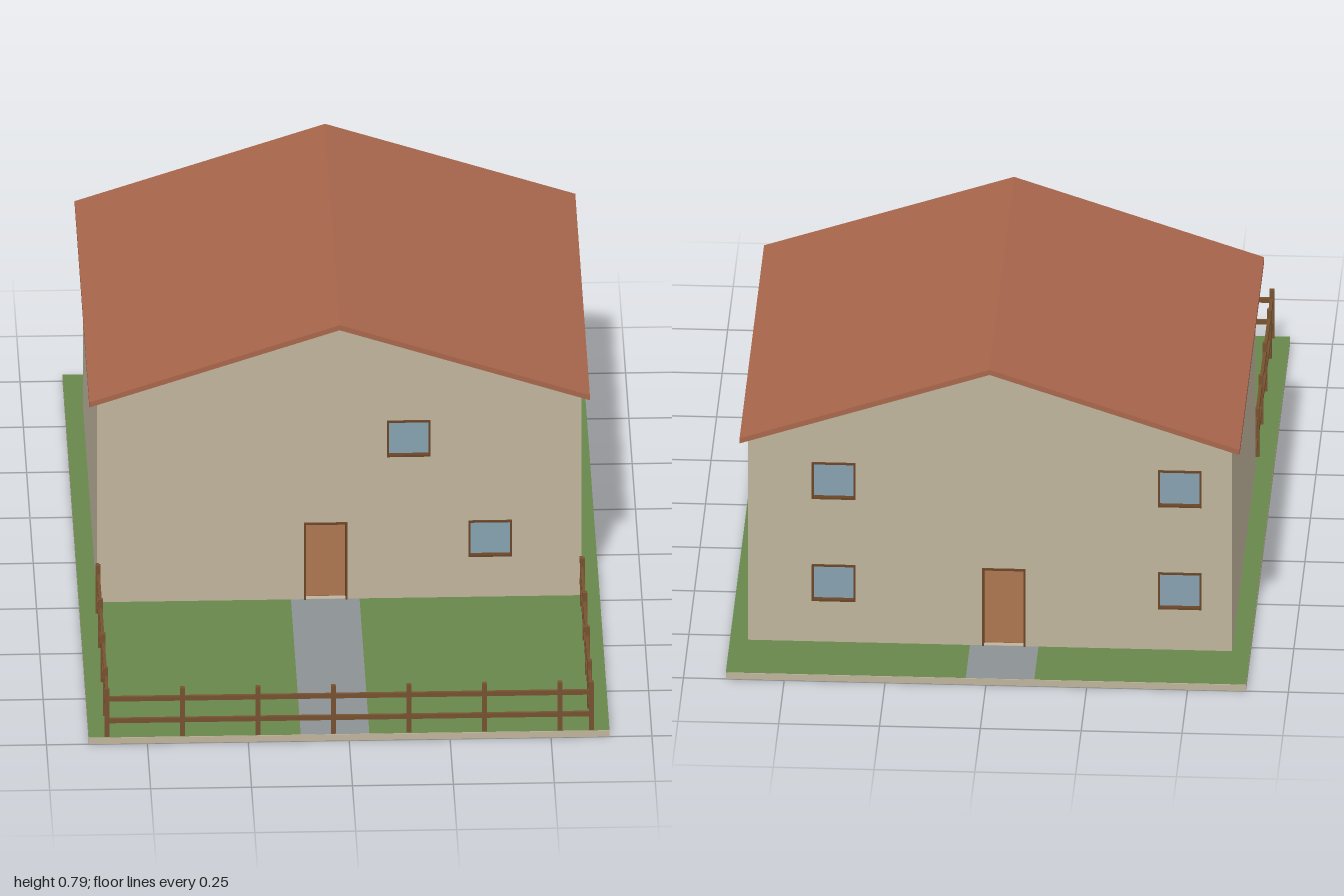
import * as THREE from 'three';

const mat = (color) => new THREE.MeshStandardMaterial({ color });
const M = {
  wall: mat(0xbfb49c), roof: mat(0xa8654b), grass: mat(0x68874c), path: mat(0x8c9194),
  glass: mat(0x86a2b0), frame: mat(0x6a4526), wood: mat(0x76512f), floor: mat(0x9c6a48),
};

const BASE = 0.018;              // top of the ground slab
const T = 0.015;                 // wall thickness
const HALF_W = 0.6, FRONT = 0.255, BACK = -0.81;
const EAVE = 0.574, RIDGE = 0.772;

function add(parent, name, geometry, material, x = 0, y = 0, z = 0) {
  const mesh = new THREE.Mesh(geometry, material);
  mesh.name = name;
  mesh.position.set(x, y, z);
  parent.add(mesh);
  return mesh;
}

function box(parent, name, material, x0, x1, y0, y1, z0, z1) {
  return add(parent, name, new THREE.BoxGeometry(x1 - x0, y1 - y0, z1 - z0), material,
    (x0 + x1) / 2, (y0 + y1) / 2, (z0 + z1) / 2);
}

const polygon = (pts) => new THREE.Shape(pts.map(([x, y]) => new THREE.Vector2(x, y)));
const rect = (x0, x1, y0, y1) => [[x0, y0], [x1, y0], [x1, y1], [x0, y1]];
const extrude = (shape, depth) => new THREE.ExtrudeGeometry(shape, { depth, bevelEnabled: false });

// A wall in its own XY plane, outside facing +z, pierced by framed openings
function makeWall(name, outline, openings) {
  const wall = new THREE.Group();
  wall.name = name;
  const shape = polygon(outline);
  for (const { x, y0, y1, door } of openings) {
    const hw = 0.054, f = 0.005;
    const bottom = door ? y0 : y0 + f;
    shape.holes.push(polygon(rect(x - hw + 0.001, x + hw - 0.001, y0 + 0.001, y1 - 0.001)));

    // Doors have jambs and a lintel only; windows are framed all round
    const frame = door
      ? polygon([[x - hw, y0], [x - hw + f, y0], [x - hw + f, y1 - f], [x + hw - f, y1 - f],
        [x + hw - f, y0], [x + hw, y0], [x + hw, y1], [x - hw, y1]])
      : polygon(rect(x - hw, x + hw, y0, y1));
    if (!door) frame.holes.push(polygon(rect(x - hw + f, x + hw - f, bottom, y1 - f)));
    add(wall, door ? 'doorFrame' : 'windowFrame', extrude(frame, T + 0.008), M.frame, 0, 0, -0.004);
    if (!door) {
      box(wall, 'windowPane', M.glass, x - hw + f, x + hw - f, bottom, y1 - f, 0.002, 0.006);
    }
  }
  add(wall, name + 'Panel', extrude(shape, T), M.wall);
  return wall;
}

const upper = (x) => ({ x, y0: 0.41, y1: 0.51 });
const lower = (x) => ({ x, y0: 0.13, y1: 0.23 });
const door = (x) => ({ x, y0: BASE, y1: 0.23, door: true });

function makeHouse() {
  const house = new THREE.Group();
  house.name = 'house';
  const gable = [[-HALF_W, BASE], [HALF_W, BASE], [HALF_W, EAVE], [0, RIDGE], [-HALF_W, EAVE]];
  const mid = (FRONT + BACK) / 2, half = (FRONT - BACK) / 2 - T;
  const side = rect(-half, half, BASE, EAVE);

  const front = makeWall('frontWall', gable, [door(-0.034), upper(0.172), lower(0.374)]);
  front.position.z = FRONT - T;

  const back = makeWall('backWall', gable,
    [door(0.034), upper(-0.388), lower(-0.388), upper(0.47), lower(0.47)]);
  back.rotation.y = Math.PI;
  back.position.z = BACK + T;

  const windowX = mid - 0.012;
  const left = makeWall('leftWall', side, [upper(windowX), lower(windowX)]);
  left.rotation.y = Math.PI / 2;
  left.position.set(HALF_W - T, 0, mid);

  const right = makeWall('rightWall', side, []);
  right.rotation.y = -Math.PI / 2;
  right.position.set(-HALF_W + T, 0, mid);
  house.add(front, back, left, right);

  box(house, 'floor', M.floor, -HALF_W + T, HALF_W - T, BASE, BASE + 0.003, BACK + T, FRONT - T);

  // Roof: one folded slab overhanging all walls
  const e = 0.62, drop = 0.568, t = 0.014;
  const roof = polygon([[-e, drop], [0, RIDGE], [e, drop], [e, drop + t], [0, RIDGE + t], [-e, drop + t]]);
  add(house, 'roof', extrude(roof, 1.11), M.roof, 0, 0, -0.835);
  return house;
}

function makeGround() {
  const ground = new THREE.Group();
  ground.name = 'ground';
  const w = 0.645, p0 = -0.12, p1 = 0.05;
  box(ground, 'groundSlab', M.wall, -w, w, 0, BASE - 0.001, -1, 1);
  // Lawn and path lie side by side on the slab
  for (const [name, m, x0, x1] of [['lawn', M.grass, -w, p0], ['path', M.path, p0, p1], ['lawn', M.grass, p1, w]]) {
    add(ground, name, new THREE.PlaneGeometry(x1 - x0, 2), m, (x0 + x1) / 2, BASE, 0).rotation.x = -Math.PI / 2;
  }
  return ground;
}

function makeFence() {
  const fence = new THREE.Group();
  fence.name = 'fence';
  const z = 0.992, h = 0.006, r = 0.004;
  const post = (x, pz) => box(fence, 'fencePost', M.wood, x - h, x + h, BASE, 0.15, pz - h, pz + h);

  for (let i = 0; i < 7; i++) post(-HALF_W + i * 0.187, z);
  post(HALF_W, z);
  for (const s of [-1, 1]) {
    for (let i = 0; i < 4; i++) post(s * HALF_W, 0.312 + i * 0.188);
  }
  // Two rails along each of the three sides
  for (const y of [0.061, 0.121]) {
    box(fence, 'frontRail', M.wood, -HALF_W, HALF_W, y - 0.006, y + 0.006, z - r, z + r);
    for (const s of [-1, 1]) {
      const x = s * (HALF_W - 0.001);
      box(fence, 'sideRail', M.wood, x - r, x + r, y - 0.006, y + 0.006, FRONT, z);
    }
  }
  return fence;
}

export function createModel() {
  const model = new THREE.Group();
  model.name = 'cottage';
  model.add(makeGround(), makeHouse(), makeFence());
  return model;
}
